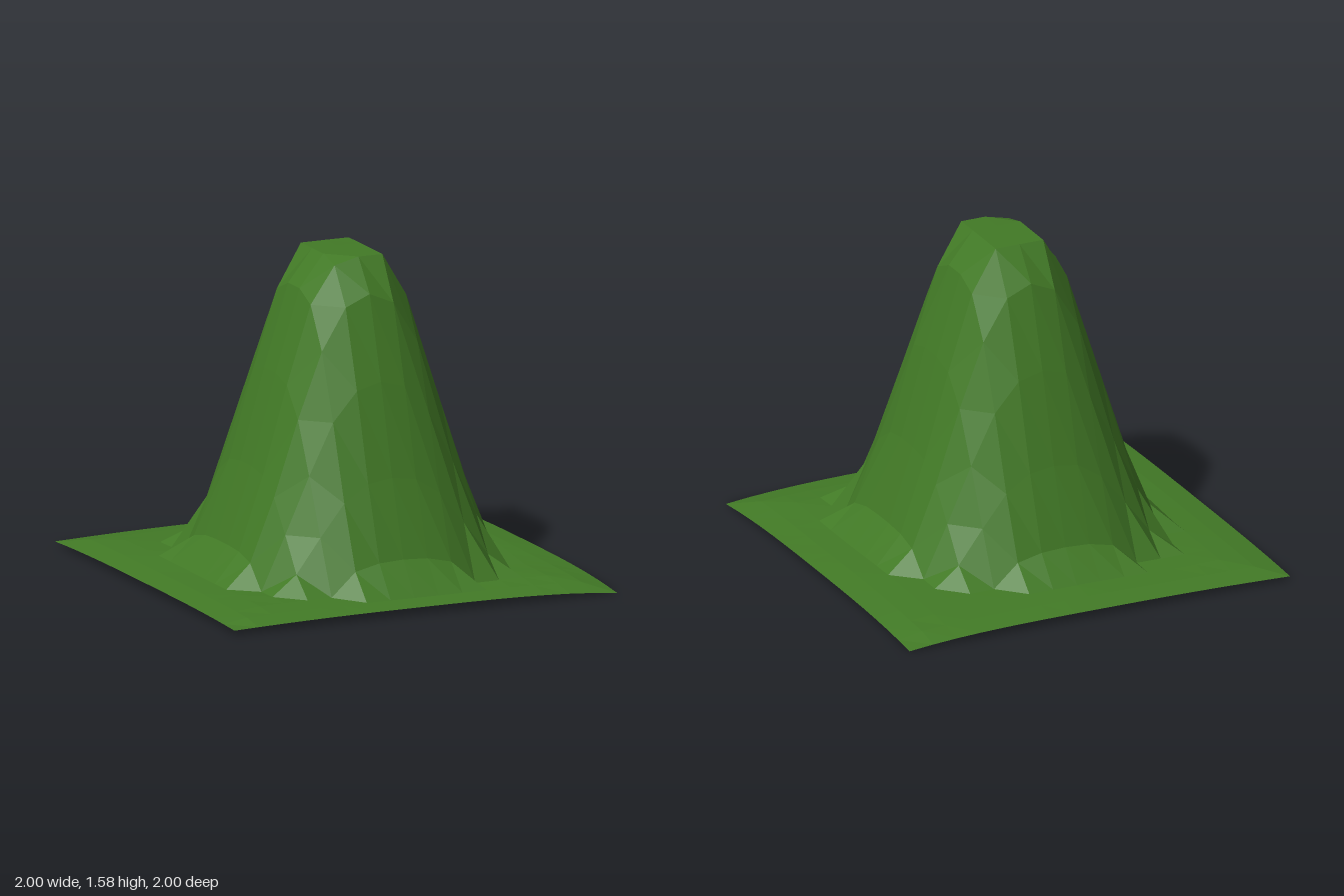
import * as THREE from 'three';

const CELLS = 16;
const STEP = 2 / CELLS;

// Hill height by distance from its short ridge line
const PROFILE = [[0, 1.577], [0.17, 1.575], [0.25, 1.42], [0.375, 1.02], [0.5, 0.58], [0.625, 0.21], [0.66, 0.16]];

// Gently curled ground sheet, drooping to the edges and corners
function groundHeight(x, z) {
  const edge = Math.max(Math.abs(x), Math.abs(z)) ** 6;
  const corner = Math.abs(x * z) ** 3;
  const ripple = 0.004 * Math.sin(5 * x + 1) * Math.sin(6 * z) * (1 - edge);
  return 0.065 - 0.03 * edge - (0.025 + 0.01 * x) * corner + ripple;
}

function height(x, z) {
  // Rounded-square distance to the ridge from z = 0 to z = 0.125
  const dz = Math.max(-z, z - 0.125, 0);
  const d = (Math.abs(x) ** 2.5 + dz ** 2.5) ** 0.4;
  const ground = groundHeight(x, z);
  for (let i = 1; i < PROFILE.length; i++) {
    const [d0, h0] = PROFILE[i - 1];
    const [d1, h1] = PROFILE[i];
    if (d <= d1) return Math.max(ground, THREE.MathUtils.mapLinear(d, d0, d1, h0, h1));
  }
  return ground;
}

export function createModel() {
  const model = new THREE.Group();
  model.name = 'terrain';

  const grass = new THREE.MeshStandardMaterial({ color: 0x427a26, side: THREE.DoubleSide });
  grass.name = 'grass green';

  // Grid of faceted cells, each split along the same diagonal
  const positions = [];
  const corner = (i, j) => {
    const x = -1 + i * STEP;
    const z = -1 + j * STEP;
    // the front right corner of the summit is slightly worn down
    const worn = x === -0.125 && z === 0.25 ? 0.03 : 0;
    return [x, height(x, z) - worn, z];
  };
  for (let j = 0; j < CELLS; j++) {
    for (let i = 0; i < CELLS; i++) {
      const a = corner(i, j);
      const b = corner(i, j + 1);
      const c = corner(i + 1, j + 1);
      const d = corner(i + 1, j);
      positions.push(...a, ...b, ...c, ...a, ...c, ...d);
    }
  }
  const geometry = new THREE.BufferGeometry();
  geometry.setAttribute('position', new THREE.Float32BufferAttribute(positions, 3));
  geometry.computeVertexNormals();

  const hill = new THREE.Mesh(geometry, grass);
  hill.name = 'grassyHill';
  model.add(hill);
  return model;
}
